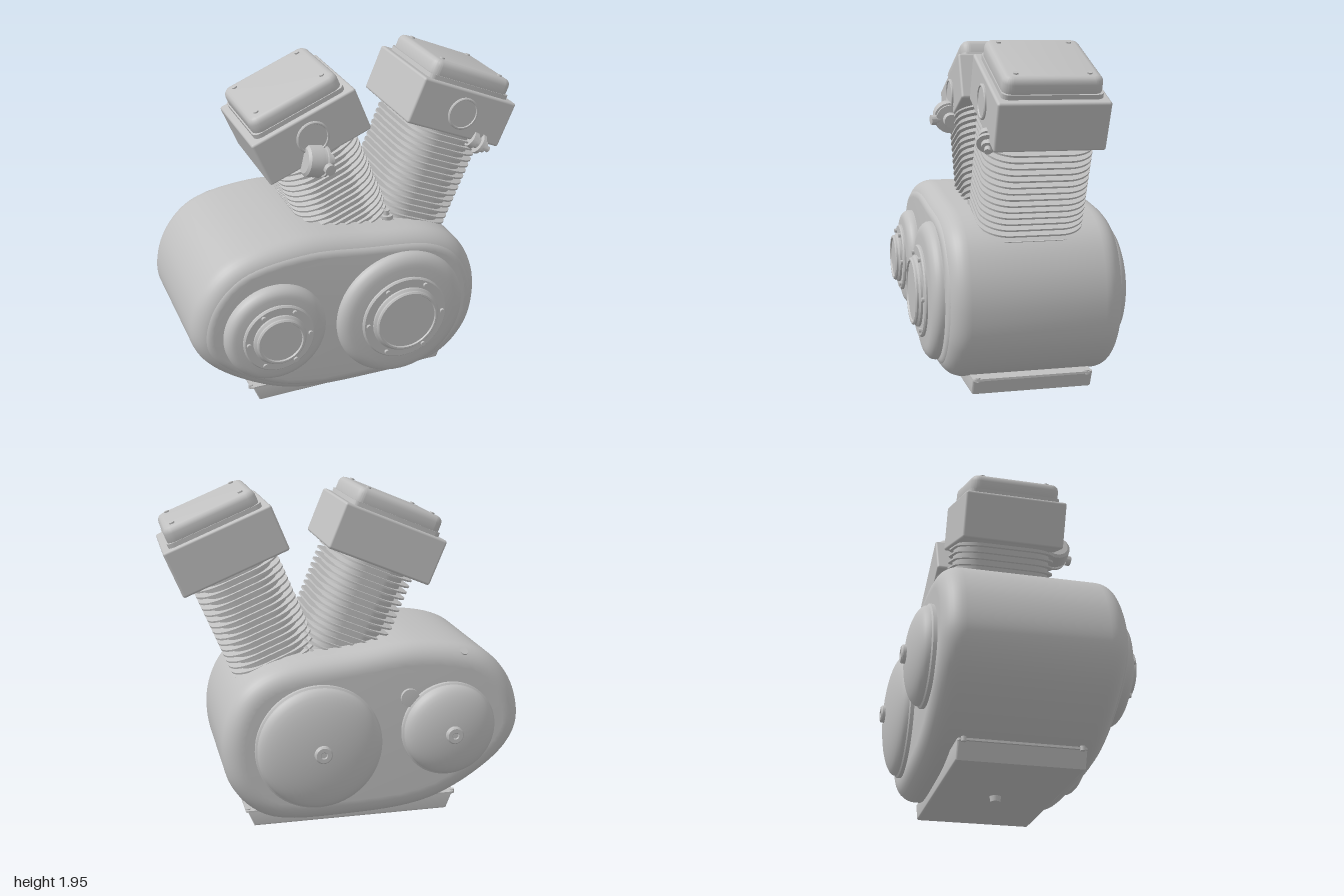
import * as THREE from 'three';
import { toCreasedNormals } from 'three/addons/utils/BufferGeometryUtils.js';
import { RoundedBoxGeometry } from 'three/addons/geometries/RoundedBoxGeometry.js';

const metal = new THREE.MeshStandardMaterial({ color: 0xc0c0c0 });
metal.name = 'cast metal';

function add(parent, name, geometry, x = 0, y = 0, z = 0) {
  const mesh = new THREE.Mesh(geometry, metal);
  mesh.name = name;
  mesh.position.set(x, y, z);
  parent.add(mesh);
  return mesh;
}

const smooth = (geometry, angle = 0.6) => toCreasedNormals(geometry, angle);

// Extrusion along z from 0 to depth whose rounded edges stay inside the outline
function extrude(shape, depth, bevel, segments = 4) {
  const geometry = new THREE.ExtrudeGeometry(shape, {
    depth: depth - 2 * bevel, bevelEnabled: bevel > 0, bevelThickness: bevel,
    bevelSize: bevel, bevelOffset: -bevel, bevelSegments: segments, curveSegments: 8,
  });
  return smooth(geometry.translate(0, 0, bevel));
}

// Rounded rectangle lying flat, rising from y = 0 to height
function slab(width, depth, height, radius, bevel = 0) {
  const s = new THREE.Shape();
  const a = width / 2 - radius, b = depth / 2 - radius;
  s.absarc(a, b, radius, 0, Math.PI / 2);
  s.absarc(-a, b, radius, Math.PI / 2, Math.PI);
  s.absarc(-a, -b, radius, Math.PI, Math.PI * 1.5);
  s.absarc(a, -b, radius, Math.PI * 1.5, Math.PI * 2);
  return extrude(s, height, bevel, 3).rotateX(-Math.PI / 2);
}

// Turned part whose axis points to +z (side = 1) or -z (side = -1)
function turned(profile, side = 1, segments = 64) {
  const points = profile.map(([r, h]) => new THREE.Vector2(r, h));
  return smooth(new THREE.LatheGeometry(points, segments).rotateX(side * Math.PI / 2));
}

// Stepped turned part laid along a direction
function fitting(parent, name, profile, position, direction) {
  const points = profile.map(([r, h]) => new THREE.Vector2(r, h));
  const mesh = add(parent, name, smooth(new THREE.LatheGeometry(points, 28)), ...position);
  mesh.quaternion.setFromUnitVectors(new THREE.Vector3(0, 1, 0), new THREE.Vector3(...direction).normalize());
  return mesh;
}

function caseShape(inset = 0) {
  const outline = [
    [-1, 0.6], [-0.95, 0.83], [-0.78, 1.02], [-0.4, 1.1], [0.01, 1.06], [0.44, 0.995],
    [0.6, 0.9], [0.7, 0.73], [0.73, 0.53], [0.68, 0.31], [0.49, 0.125], [0, 0.085],
    [-0.47, 0.135], [-0.8, 0.31], [-0.95, 0.46],
  ];
  const cx = -0.13, cy = 0.59;
  const curve = new THREE.CatmullRomCurve3(outline.map(([x, y]) => new THREE.Vector3(
    cx + (x - cx) * (1 - inset / 0.86), cy + (y - cy) * (1 - inset / 0.5), 0)), true);
  return new THREE.Shape(curve.getPoints(110).slice(0, -1).map((p) => new THREE.Vector2(p.x, p.y)));
}

// Round front cover with bolted plate and cap
function frontCover(parent, x, y, outer, plate, cap) {
  const cover = new THREE.Group();
  cover.name = 'frontCover';
  cover.position.set(x, y, 0);
  parent.add(cover);
  const e = (outer - plate) * 0.6;
  const profile = [[outer, 0.44], [outer, 0.5]];
  for (let i = 1; i <= 6; i++) {
    const t = i / 6 * Math.PI / 2;
    profile.push([outer - e * (1 - Math.cos(t)), 0.5 + 0.055 * Math.sin(t)]);
  }
  profile.push([plate, 0.56], [0, 0.56]);
  add(cover, 'coverFlange', turned(profile));
  add(cover, 'boltPlate', turned([[plate, 0.55], [plate, 0.57], [plate - 0.008, 0.578], [0, 0.578]]));
  add(cover, 'coverCap', turned([[cap + 0.012, 0.57], [cap + 0.012, 0.59], [cap, 0.6], [cap, 0.61],
    [cap - 0.008, 0.617], [cap - 0.018, 0.617], [cap - 0.022, 0.608], [0, 0.608]]));
  for (let i = 0; i < 6; i++) {
    const t = i * Math.PI / 3, r = (plate + cap) / 2 + 0.005;
    add(cover, 'coverBolt', turned([[0.013, 0.57], [0.013, 0.592], [0, 0.592]], 1, 12), r * Math.cos(t), r * Math.sin(t));
  }
}

// Shallow dome on the back with a centre knob
function backDome(parent, x, y, radius) {
  const profile = [[radius, 0.45], [radius, 0.505], [radius - 0.01, 0.512]];
  for (let i = 1; i <= 10; i++) {
    const t = i / 10 * Math.PI / 2;
    profile.push([Math.max(0, (radius - 0.01) * Math.cos(t)), 0.512 + 0.093 * Math.sin(t)]);
  }
  add(parent, 'backDome', turned(profile, -1), x, y);
  add(parent, 'domeKnob', turned([[0.05, 0.59], [0.05, 0.62], [0.042, 0.628], [0.02, 0.628], [0.015, 0.622], [0, 0.622]], -1, 28), x, y);
}

// Finned barrel, head and rocker cover, upright along y from the crank centre
function cylinder(parent, name, tilt) {
  const g = new THREE.Group();
  g.name = name;
  g.position.set(0.207, 0.55, 0);
  g.rotation.z = tilt;
  parent.add(g);
  add(g, 'barrel', slab(0.4, 0.55, 0.67, 0.14), 0, 0.38, 0);
  const fin = slab(0.51, 0.59, 0.01, 0.16);
  for (let i = 0; i < 16; i++) add(g, 'coolingFin', fin, 0, 0.455 + i * 0.037, 0);
  add(g, 'cylinderHead', new RoundedBoxGeometry(0.632, 0.27, 0.59, 3, 0.014), 0, 1.17, 0);
  add(g, 'rockerGasket', slab(0.55, 0.53, 0.03, 0.04), 0, 1.3, 0);
  add(g, 'rockerCover', slab(0.535, 0.52, 0.115, 0.055, 0.035), 0, 1.298, 0);
  for (const sx of [-1, 1]) for (const sz of [-1, 1]) {
    add(g, 'rockerScrew', new THREE.CylinderGeometry(0.014, 0.014, 0.02, 12), sx * 0.2, 1.411, sz * 0.19);
  }
  add(g, 'portCover', turned([[0.094, 0.28], [0.094, 0.303], [0.088, 0.308], [0.082, 0.308],
    [0.079, 0.302], [0, 0.302]], 1, 40), 0, 1.17, 0);
}

export function createModel() {
  const engine = new THREE.Group();
  engine.name = 'twinCylinderEngine';

  // Crankcase
  add(engine, 'crankcase', extrude(caseShape(), 0.97, 0.115, 8), 0, 0, -0.485);
  add(engine, 'frontCasePlate', extrude(caseShape(0.055), 0.09, 0.045, 5), 0, 0, 0.4);
  frontCover(engine, -0.55, 0.6, 0.295, 0.205, 0.14);
  frontCover(engine, 0.207, 0.55, 0.39, 0.26, 0.19);
  backDome(engine, -0.55, 0.6, 0.275);
  backDome(engine, 0.2, 0.55, 0.36);
  add(engine, 'inspectionPlug', turned([[0.052, 0.47], [0.052, 0.505], [0, 0.508]], -1, 28), -0.32, 0.8);
  fitting(engine, 'breather', [[0.015, -0.08], [0.015, 0.01], [0.024, 0.01], [0.024, 0.035], [0, 0.035]],
    [-0.64, 1.01, -0.43], [-0.15, 0.7, -0.5]);
  fitting(engine, 'caseBoss', [[0.04, -0.05], [0.03, 0.012], [0, 0.018]], [-0.785, 0.985, 0.37], [-0.5, 0.8, 0.25]);
  fitting(engine, 'valleyBolt', [[0.04, 0], [0.04, 0.06], [0.02, 0.06], [0.02, 0.09], [0, 0.09]],
    [0.22, 1.0, 0.25], [0, 1, 0]);

  // Oil pan
  const pan = new THREE.Shape([[-0.605, 0.028], [0.548, 0.034], [0.588, 0.13], [-0.645, 0.13]]
    .map(([x, y]) => new THREE.Vector2(x, y)));
  add(engine, 'oilPan', extrude(pan, 0.68, 0.012), 0, 0, -0.34);
  add(engine, 'panLip', slab(1.25, 0.68, 0.012, 0.02), -0.03, 0.118, 0);
  for (const x of [-0.65, 0.58]) for (const z of [-0.31, 0.31]) {
    add(engine, 'panBolt', new THREE.CylinderGeometry(0.014, 0.014, 0.025, 12), x, 0.124, z);
  }
  add(engine, 'drainPlug', new THREE.CylinderGeometry(0.034, 0.028, 0.04, 12), -0.03, 0.02, 0);

  // The two cylinders of the V
  cylinder(engine, 'rightCylinder', Math.PI / 8);
  cylinder(engine, 'leftCylinder', -Math.PI / 8);

  // Intake fitting on the right head
  fitting(engine, 'intakeBody', [[0, 0], [0.07, 0], [0.086, 0.012], [0.09, 0.075], [0.09, 0.09],
    [0.075, 0.092], [0.075, 0.11], [0.085, 0.112], [0.085, 0.125], [0.045, 0.13], [0.04, 0.165], [0, 0.165]],
  [-0.3, 1.515, 0.31], [0.97, -0.22, 0]);
  fitting(engine, 'intakeStem', [[0.02, 0], [0.02, 0.085], [0.03, 0.085], [0.03, 0.115], [0, 0.118]],
    [-0.2, 1.49, 0.31], [0.1, -0.05, 1]);

  // Small threaded fitting on the left head
  fitting(engine, 'plugFitting', [[0, 0], [0.05, 0], [0.05, 0.03], [0.035, 0.032], [0.035, 0.055],
    [0.06, 0.057], [0.06, 0.075], [0.035, 0.077], [0.035, 0.105], [0.018, 0.107], [0.018, 0.135], [0, 0.135]],
  [0.72, 1.465, 0.28], [0.75, -0.55, 0.2]);
  return engine;
}
